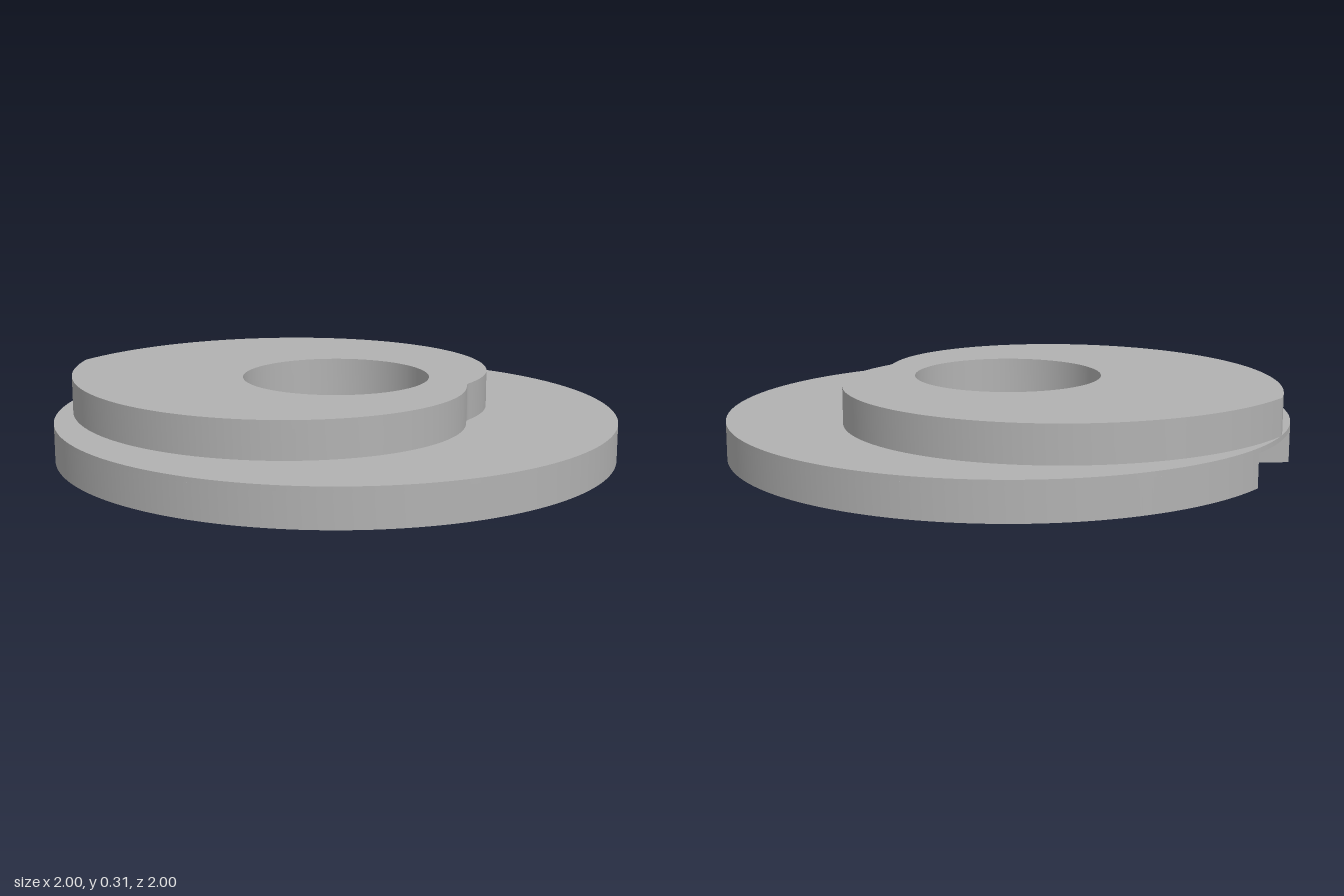
import * as THREE from 'three';
import { toCreasedNormals } from 'three/addons/utils/BufferGeometryUtils.js';

const BORE = 0.333;
const AXIS = 7.5; // symmetry axis of cam and notch, degrees from +x towards +z

// Point on the plan at radius r and angle in degrees from the symmetry axis
function polar(r, deg) {
  const a = THREE.MathUtils.degToRad(deg + AXIS);
  return new THREE.Vector2(r * Math.cos(a), -r * Math.sin(a));
}

// Upright plate with the central bore cut out
function plate(points, bottom, top) {
  const shape = new THREE.Shape(points);
  const bore = new THREE.Path();
  bore.absarc(0, 0, BORE, 0, Math.PI * 2, false);
  shape.holes.push(bore);
  const geo = new THREE.ExtrudeGeometry(shape, { depth: top - bottom, bevelEnabled: false, curveSegments: 96 });
  geo.rotateX(-Math.PI / 2);
  geo.translate(0, bottom, 0);
  return toCreasedNormals(geo, 0.2);
}

export function createModel() {
  const group = new THREE.Group();
  const grey = new THREE.MeshStandardMaterial({ color: 0xb2b2b2 });
  grey.name = 'grey metal';

  const add = (name, geo) => {
    const mesh = new THREE.Mesh(geo, grey);
    mesh.name = name;
    group.add(mesh);
  };

  const N = 360;
  const outer = 11.2, inner = 7; // half angles of the notch at rim and floor
  const rim = [], fullRim = [], heart = [];
  for (let i = 0; i <= N; i++) rim.push(polar(1, -180 + outer + (360 - 2 * outer) * i / N));
  for (let i = 0; i <= 8; i++) rim.push(polar(0.8, 180 - inner + 2 * inner * i / 8));

  // Heart cam: radius grows evenly from a slightly rounded inner cusp to the outer tip
  for (let i = 0; i < N; i++) {
    const d = -180 + 360 * i / N;
    fullRim.push(polar(1, d));
    heart.push(polar(0.476 + 0.525 * Math.hypot(d, 2) / 180, d));
  }

  // Round base: notched from below, closed by a thin full disc on top
  add('baseDisc', plate(rim, 0.048, 0.164));
  add('baseTop', plate(fullRim, 0.164, 0.182));
  add('heartCam', plate(heart, 0.182, 0.313));

  // Small drive pin under the base
  const pin = new THREE.CylinderGeometry(0.093, 0.093, 0.05, 48);
  pin.translate(-0.667, 0.025, 0);
  add('pin', pin);

  return group;
}
